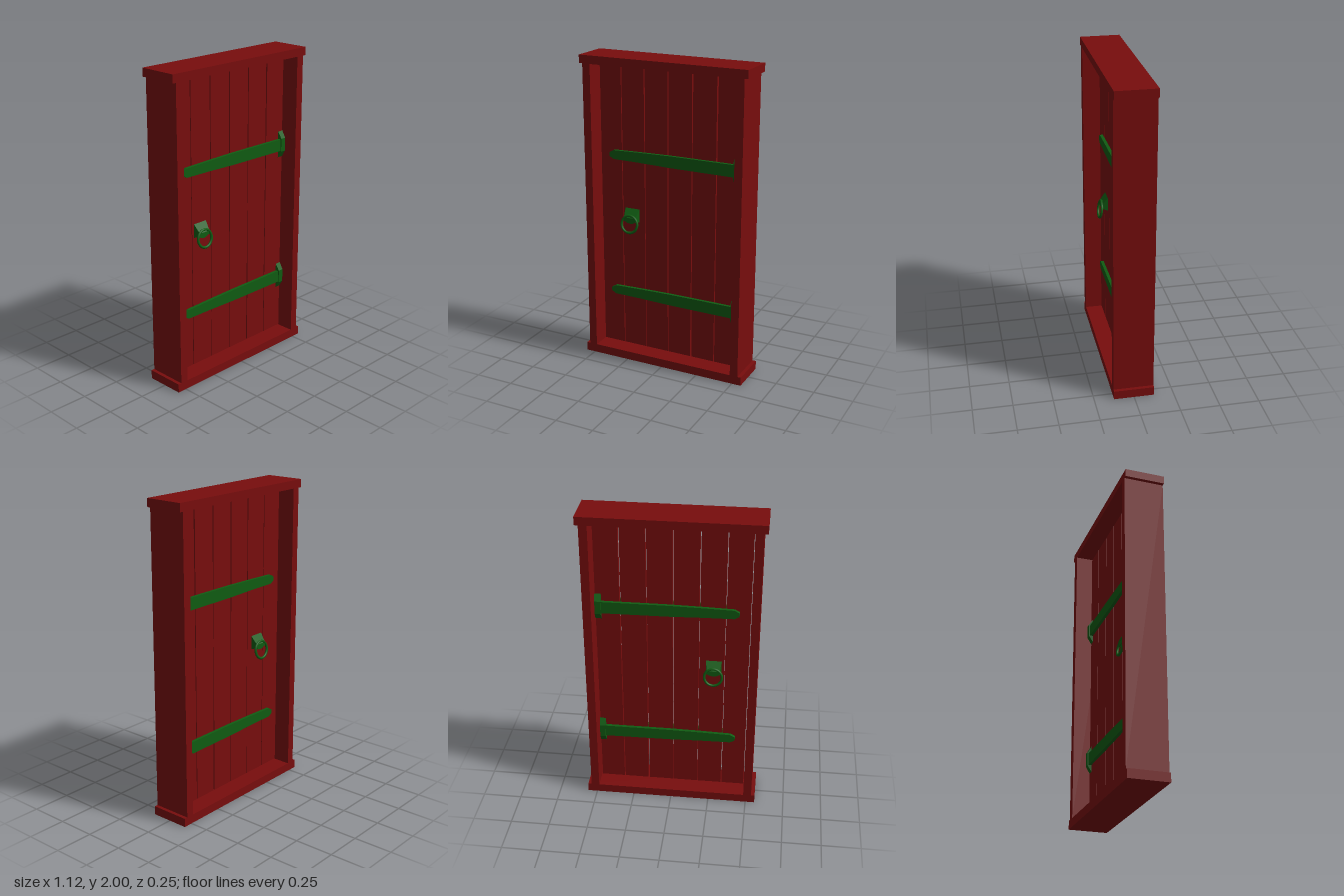
import * as THREE from 'three';

export function createModel() {
  const wood = new THREE.MeshStandardMaterial({ color: 0x780d0d });
  wood.name = 'red wood';
  const iron = new THREE.MeshStandardMaterial({ color: 0x105c12 });
  iron.name = 'green iron';
  const door = new THREE.Group();
  door.name = 'door';

  function add(parent, name, geometry, material, x = 0, y = 0, z = 0) {
    const mesh = new THREE.Mesh(geometry, material);
    mesh.name = name;
    mesh.position.set(x, y, z);
    parent.add(mesh);
    return mesh;
  }

  // Extrudes an outline from z = 0 to z = depth
  function slab(points, depth) {
    const shape = new THREE.Shape(points.map(([x, y]) => new THREE.Vector2(x, y)));
    return new THREE.ExtrudeGeometry(shape, { depth, bevelEnabled: false });
  }

  // Box whose front face is narrowed and shifted to make sloping sides
  function wedge(w, h, d, sx, top, bottom) {
    const g = new THREE.BoxGeometry(w, h, d).toNonIndexed();
    const p = g.attributes.position;
    for (let i = 0; i < p.count; i++) {
      if (p.getZ(i) < 0) continue;
      p.setX(i, p.getX(i) * sx);
      p.setY(i, p.getY(i) > 0 ? h / 2 - top : -h / 2 + bottom);
    }
    g.computeVertexNormals();
    return g;
  }

  // Frame
  const depth = 0.254;
  add(door, 'lintel', new THREE.BoxGeometry(1.12, 0.052, depth), wood, 0, 1.974);
  add(door, 'sill', new THREE.BoxGeometry(1.12, 0.056, depth), wood, 0, 0.028);
  for (const side of [-1, 1]) {
    add(door, side < 0 ? 'rightJamb' : 'leftJamb',
      new THREE.BoxGeometry(0.052, 1.892, depth), wood, side * 0.511, 1.002);
  }

  // Six planks with thin, slightly uneven gaps
  const seams = [-0.482, -0.328, -0.167, -0.005, 0.16, 0.324, 0.482];
  const half = [[4, 4, 4], [3, 2, 3], [2, 2, 4], [2, 4, 4], [5, 2, 4], [3, 3, 5], [4, 4, 4]];
  const levels = [0.064, 1.0, 1.942];
  const plankZ = 0.017;
  for (let i = 0; i < 6; i++) {
    const left = levels.map((y, k) => [seams[i] + half[i][k] / 1000, y]);
    const right = levels.map((y, k) => [seams[i + 1] - half[i + 1][k] / 1000, y]);
    add(door, 'plank' + (i + 1), slab([...left, ...right.reverse()].reverse(), plankZ * 2),
      wood, 0, 0, -plankZ);
  }

  // Ironwork for one face of the door
  function ironwork(name) {
    const group = new THREE.Group();
    group.name = name;

    // Tapering straps with blunt tips, and hinge plates
    const strap = [[-0.41, -0.012], [-0.38, -0.029], [-0.2, -0.031], [0.02, -0.037], [0.475, -0.04],
      [0.475, 0.038], [0.02, 0.038], [-0.2, 0.034], [-0.38, 0.029], [-0.41, 0.012]];
    for (const y of [0.443, 1.367]) {
      add(group, 'hingeStrap', slab(strap, 0.021), iron, 0, y, plankZ - 0.001);
      add(group, 'hingePlate', wedge(0.04, 0.176, 0.028, 0.9, 0.045, 0.045), iron, 0.461, y, plankZ + 0.013);
    }

    // Handle: sloping mount, hanging boss and ring
    add(group, 'handleMount', wedge(0.1, 0.09, 0.042, 0.82, 0.055, 0.012), iron, -0.26, 0.976, plankZ + 0.02);
    const boss = add(group, 'handleBoss', new THREE.CylinderGeometry(0.042, 0.042, 0.035, 12),
      iron, -0.26, 0.952, plankZ + 0.018);
    boss.rotation.x = Math.PI / 2;
    boss.scale.z = 0.6;
    const ring = add(group, 'handleRing', new THREE.TorusGeometry(0.056, 0.0085, 8, 28),
      iron, -0.26, 0.925, plankZ + 0.043);
    ring.rotation.x = -0.15;
    return group;
  }

  // Matching ironwork on the back, mirrored in depth
  door.add(ironwork('frontIronwork'));
  const back = ironwork('backIronwork');
  back.scale.z = -1;
  door.add(back);

  return door;
}
